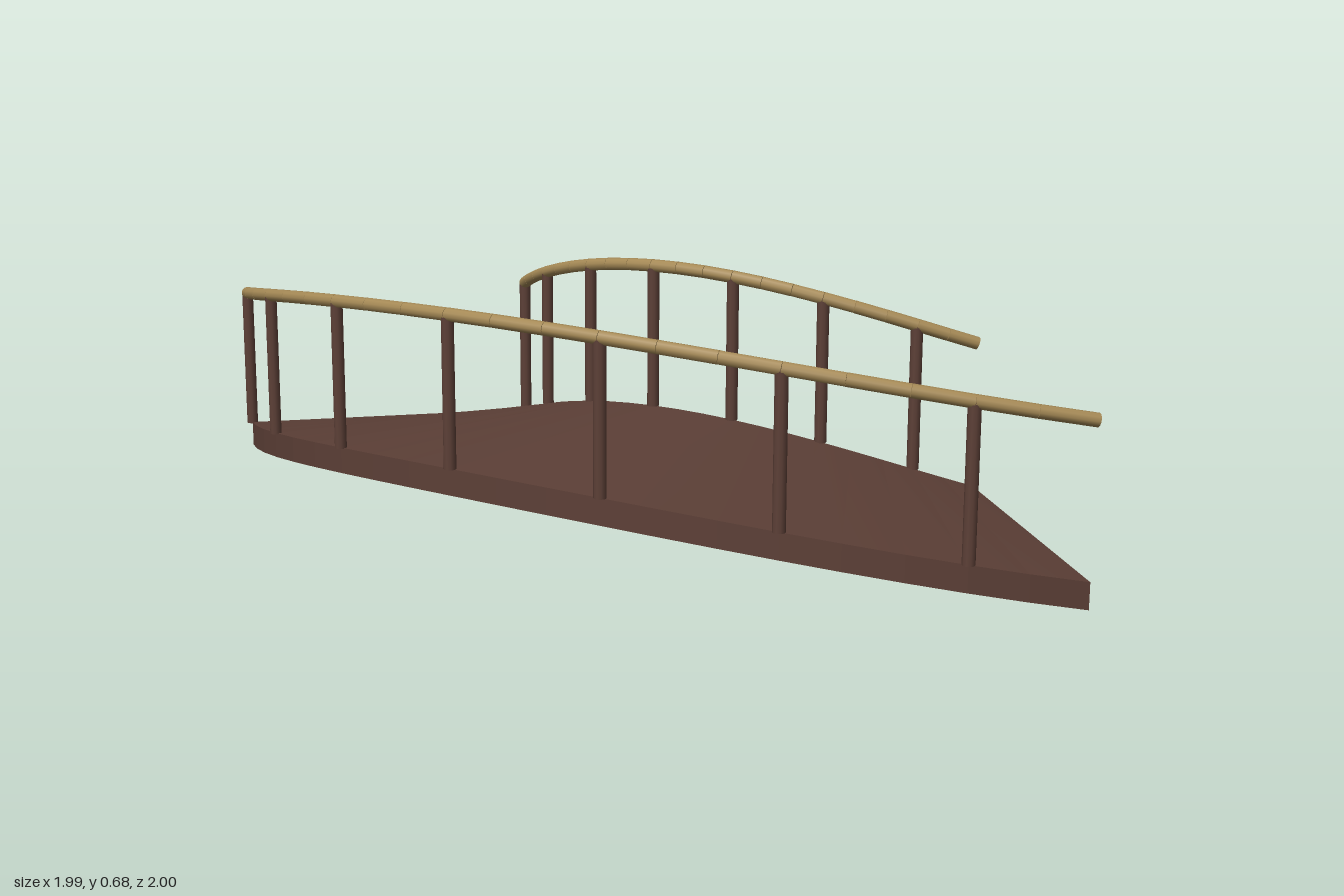
import * as THREE from 'three';

const PIVOT = 0.985;            // the bridge bends a quarter turn around (PIVOT, -PIVOT)
const INNER = 1.104, OUTER = 1.968;
const PLANKS = 20, RISE = 0.18, THICK = 0.073, RAIL_Y = 0.485;

// Point on the arched quarter ring: t runs 0..1 along the bridge
function ringPoint(t, radius, height) {
  const a = t * Math.PI / 2;
  return new THREE.Vector3(
    PIVOT - radius * Math.cos(a),
    height + RISE * Math.sin(Math.PI * t),
    -PIVOT + radius * Math.sin(a)
  );
}

// Round bar between two points
function bar(name, a, b, radius, material) {
  const dir = b.clone().sub(a);
  const mesh = new THREE.Mesh(new THREE.CylinderGeometry(radius, radius, dir.length(), 10), material);
  mesh.name = name;
  mesh.position.copy(a).add(b).multiplyScalar(0.5);
  mesh.quaternion.setFromUnitVectors(new THREE.Vector3(0, 1, 0), dir.normalize());
  return mesh;
}

// Wedge-shaped plank: a box bent onto the ring between t0 and t1
function plank(t0, t1, material) {
  const geo = new THREE.BoxGeometry(1, 1, 1);
  const pos = geo.attributes.position;
  for (let i = 0; i < pos.count; i++) {
    const p = ringPoint(
      pos.getZ(i) > 0 ? t1 : t0,
      pos.getX(i) > 0 ? INNER : OUTER,
      pos.getY(i) > 0 ? THICK : 0
    );
    pos.setXYZ(i, p.x, p.y, p.z);
  }
  geo.computeVertexNormals();
  const mesh = new THREE.Mesh(geo, material);
  mesh.name = 'plank';
  return mesh;
}

export function createModel() {
  const darkWood = new THREE.MeshStandardMaterial({ name: 'dark wood', color: 0x5d4037 });
  const paleWood = new THREE.MeshStandardMaterial({ name: 'pale wood', color: 0xa68a56 });

  const model = new THREE.Group();
  model.name = 'curvedBridge';

  // Arched deck
  const deck = new THREE.Group();
  deck.name = 'deck';
  for (let i = 0; i < PLANKS; i++) deck.add(plank(i / PLANKS, (i + 1) / PLANKS, darkWood));
  model.add(deck);

  // Railing along each edge: a post every third plank, handrail in straight pieces
  for (const [side, radius] of [['inner', INNER], ['outer', OUTER]]) {
    const railing = new THREE.Group();
    railing.name = side + 'Railing';
    for (let i = 0; i < PLANKS; i++) {
      const t = i / PLANKS;
      if (i % 3 === 0) {
        railing.add(bar('post', ringPoint(t, radius, THICK), ringPoint(t, radius, RAIL_Y), 0.017, darkWood));
      }
      railing.add(bar('handrail', ringPoint(t, radius, RAIL_Y),
        ringPoint((i + 1) / PLANKS, radius, RAIL_Y), 0.018, paleWood));
    }
    model.add(railing);
  }
  return model;
}
